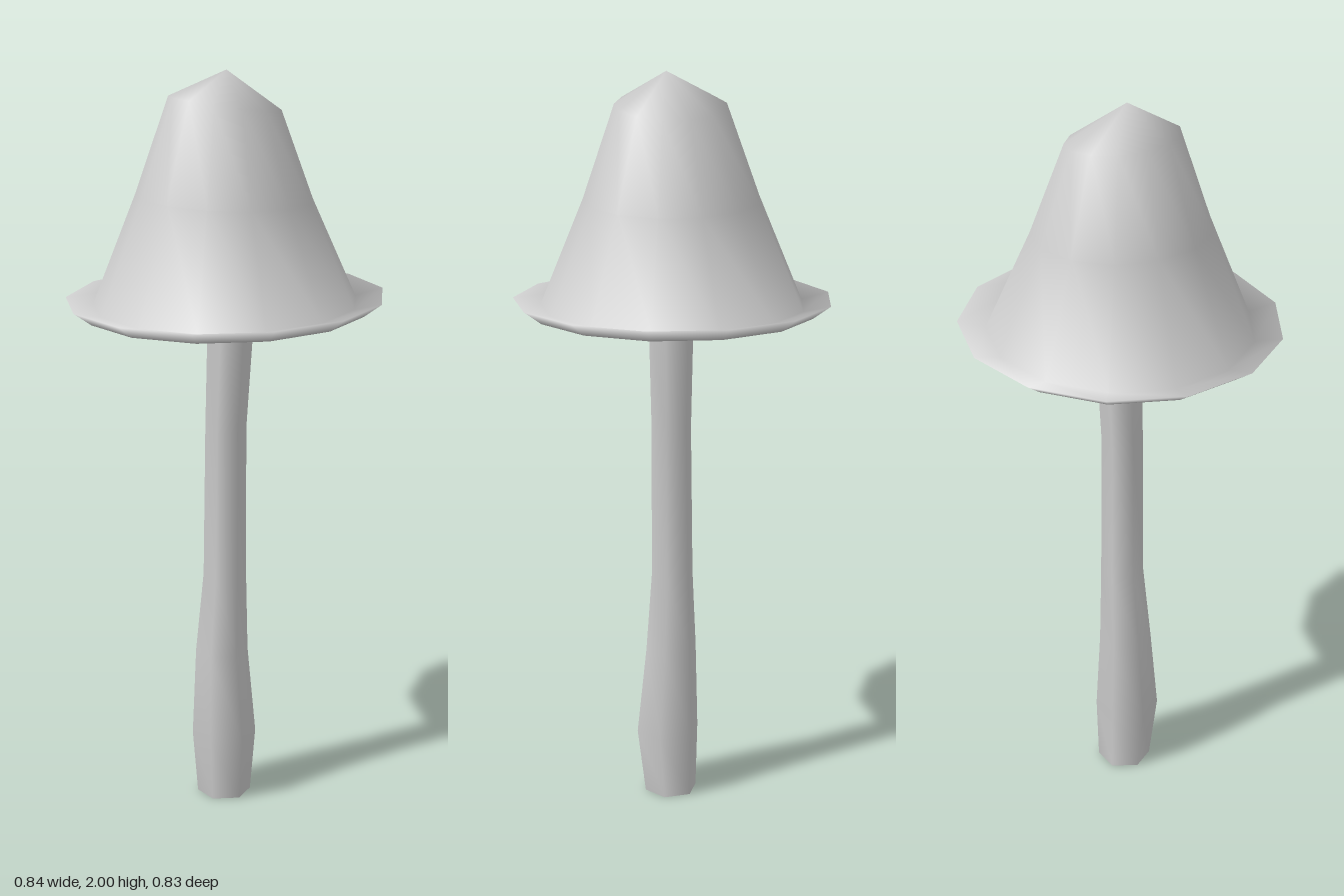
import * as THREE from 'three';

const material = new THREE.MeshStandardMaterial({ color: 0xcccccc });

// Skin a stack of horizontal rings; each ring is { r, y, x, z, tx, tz }
// (radius, height, centre offset, tilt along x and z). r = 0 makes a pole.
function loft(rings, sides, startAngle) {
  const positions = [];
  const index = [];
  const starts = rings.map(({ r, y, x = 0, z = 0, tx = 0, tz = 0 }) => {
    const start = positions.length / 3;
    for (let i = 0; i < (r === 0 ? 1 : sides); i++) {
      const a = startAngle + (i / sides) * Math.PI * 2;
      const px = r * Math.cos(a);
      const pz = r * Math.sin(a);
      positions.push(x + px, y + tx * px + tz * pz, z + pz);
    }
    return start;
  });
  for (let k = 0; k < rings.length - 1; k++) {
    const a = starts[k];
    const b = starts[k + 1];
    for (let i = 0; i < sides; i++) {
      const j = (i + 1) % sides;
      if (rings[k].r === 0) index.push(a, b + j, b + i);
      else if (rings[k + 1].r === 0) index.push(a + i, a + j, b);
      else index.push(a + i, a + j, b + i, a + j, b + j, b + i);
    }
  }
  const geometry = new THREE.BufferGeometry();
  geometry.setAttribute('position', new THREE.Float32BufferAttribute(positions, 3));
  geometry.setIndex(index);
  geometry.computeVertexNormals();
  return geometry;
}

function addPart(group, name, geometry) {
  const mesh = new THREE.Mesh(geometry, material);
  mesh.name = name;
  group.add(mesh);
}

export function createModel() {
  const model = new THREE.Group();
  model.name = 'mushroom';

  // Hollow bell cap: outer skin, upturned brim, then back up the inside
  const brim = { tx: 0.015, tz: -0.015 };
  const cap = [
    { r: 0, y: 2, x: 0.01, z: 0.015 },
    { r: 0.147, y: 1.913, x: 0.002, z: 0.005, tx: -0.09, tz: 0.11 },
    { r: 0.233, y: 1.67, z: 0.003, tx: -0.03, tz: 0.03 },
    { r: 0.35, y: 1.39, ...brim },
    { r: 0.423, y: 1.407, ...brim },
    { r: 0.375, y: 1.372, ...brim },
    { r: 0.33, y: 1.375, ...brim },
    { r: 0.213, y: 1.66, z: 0.003 },
    { r: 0.125, y: 1.885, z: 0.005, tx: -0.09, tz: 0.11 },
    { r: 0, y: 1.95, x: 0.01, z: 0.015 },
  ];
  addPart(model, 'cap', loft(cap, 13, -Math.PI / 2));

  // Six-sided stem, swollen near the foot and gently bent
  const stem = [
    { r: 0.063, y: 1.9, x: 0.015, z: 0 },
    { r: 0.062, y: 1.37, x: 0.014, z: -0.006 },
    { r: 0.055, y: 1.05, x: 0.003, z: 0.004 },
    { r: 0.058, y: 0.64, x: 0, z: 0.004 },
    { r: 0.071, y: 0.42, x: -0.005, z: 0.013 },
    { r: 0.087, y: 0.18, x: 0.004, z: 0.018 },
    { r: 0.073, y: 0, x: 0, z: 0.01 },
  ];
  addPart(model, 'stem', loft(stem, 6, Math.PI / 2));

  // Flat underside of the stem
  const foot = [
    { r: 0.073, y: 0, z: 0.01 },
    { r: 0, y: 0, z: 0.01 },
  ];
  addPart(model, 'stemFoot', loft(foot, 6, Math.PI / 2));

  return model;
}
